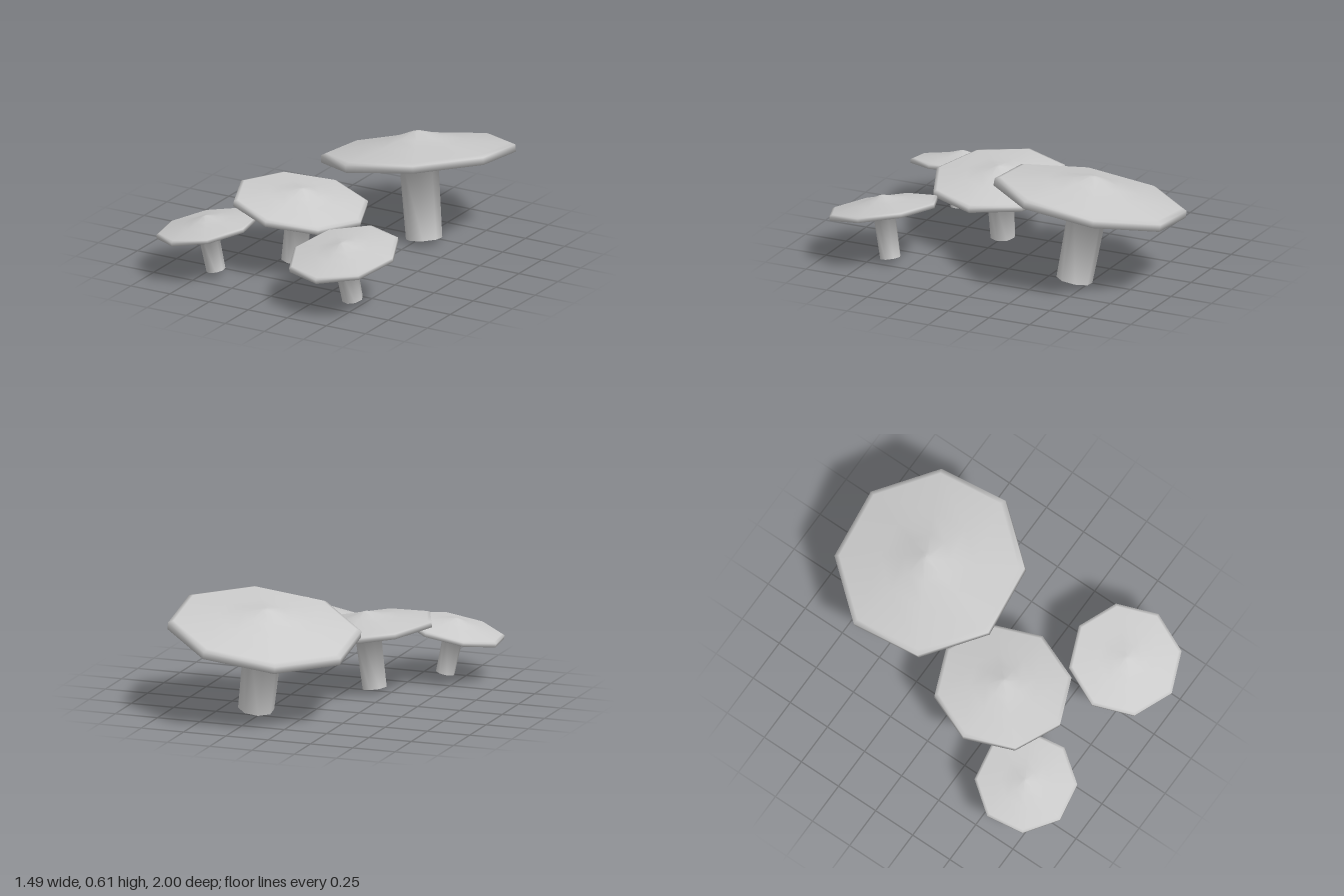
import * as THREE from 'three';

const material = new THREE.MeshStandardMaterial({ color: 0xcccccc, side: THREE.DoubleSide });
const UP = new THREE.Vector3(0, 1, 0);

// Cross-section for a rim radius of 1: open stem flowing into the underside,
// upright rim, bevelled edge and a shallow peaked top
const profile = [
  [0.187, -0.92], [0.2, -0.19], [1, -0.075], [1, 0], [0.945, 0.022],
  [0.5, 0.09], [0.25, 0.14], [0.05, 0.197], [0, 0.202],
].map(([x, y]) => new THREE.Vector2(x, y));

const mushroomGeometry = new THREE.LatheGeometry(profile, 8);

// Rim centre, radius, rise of the rim along x and z, and turn of the octagon in degrees
const mushrooms = [
  { name: 'largeMushroom', at: [0.216, 0.5, -0.489], radius: 0.539, slope: [0.155, 0.13], turn: 17.5 },
  { name: 'mediumMushroom', at: [-0.11, 0.37, 0.235], radius: 0.385, slope: [-0.13, 0], turn: 0 },
  { name: 'leftMushroom', at: [0.425, 0.31, 0.685], radius: 0.316, slope: [0.09, -0.2], turn: 0 },
  { name: 'rightMushroom', at: [-0.473, 0.29, 0.643], radius: 0.285, slope: [0.2, -0.05], turn: 14 },
];

function createMushroom({ name, at, radius, slope, turn }) {
  const mushroom = new THREE.Mesh(mushroomGeometry, material);
  mushroom.name = name;

  // Lean the whole mushroom so the rim follows its slope
  const axis = new THREE.Vector3(-slope[0], 1, -slope[1]).normalize();
  mushroom.quaternion.setFromUnitVectors(UP, axis);
  mushroom.rotateY(-THREE.MathUtils.degToRad(turn));
  mushroom.position.set(...at);
  mushroom.scale.setScalar(radius);
  return mushroom;
}

export function createModel() {
  const model = new THREE.Group();
  model.name = 'mushroomCluster';
  mushrooms.forEach((m) => model.add(createMushroom(m)));
  return model;
}
